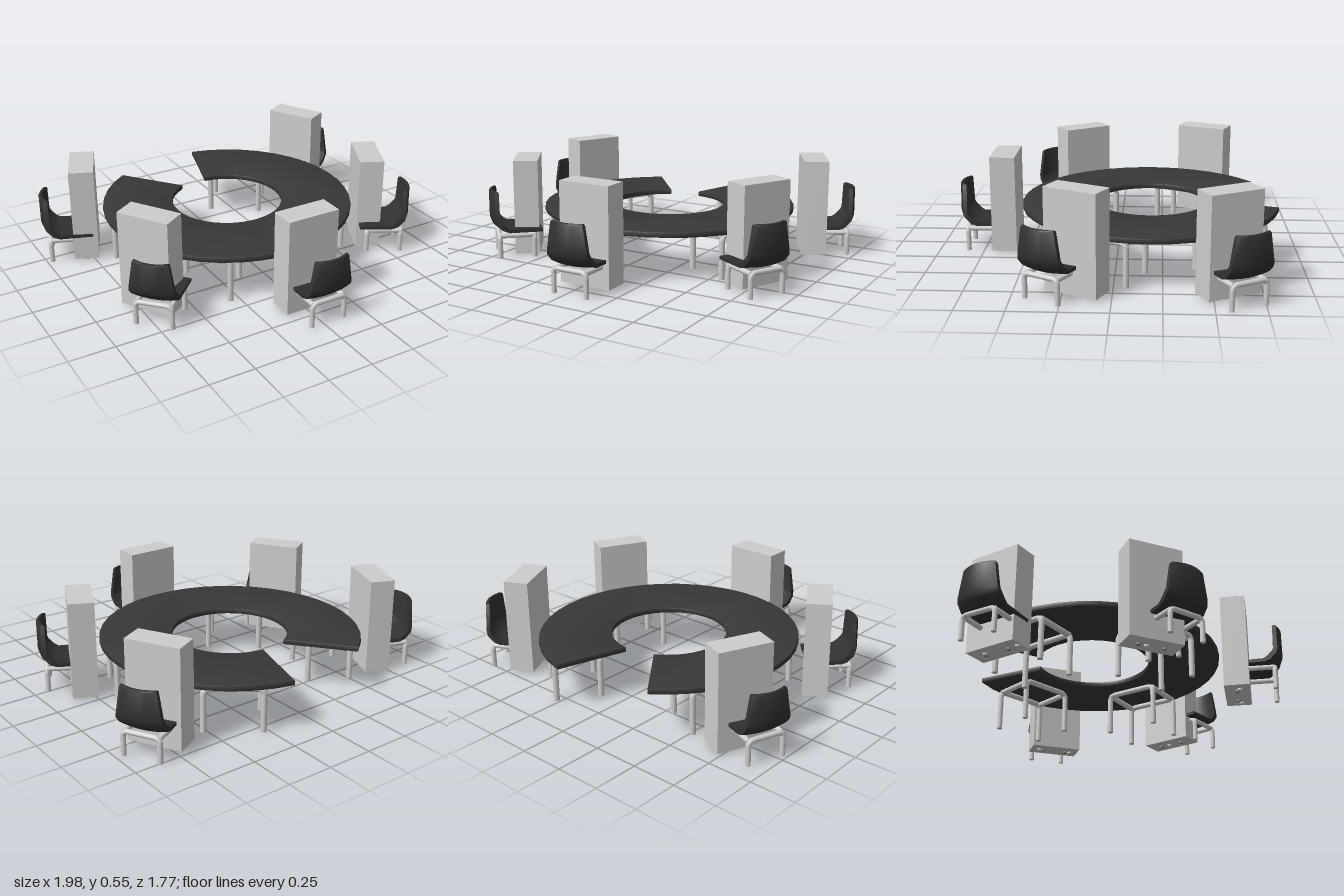
import * as THREE from 'three';
import { toCreasedNormals } from 'three/addons/utils/BufferGeometryUtils.js';

const mat = (name, color) => new THREE.MeshStandardMaterial({ name, color });
const rad = THREE.MathUtils.degToRad;

function add(parent, name, geometry, material, x = 0, y = 0, z = 0) {
  const mesh = new THREE.Mesh(geometry, material);
  mesh.name = name;
  mesh.position.set(x, y, z);
  parent.add(mesh);
  return mesh;
}

function placedGroup(parent, name, x, z, degrees) {
  const g = new THREE.Group();
  g.name = name;
  g.position.set(x, 0, z);
  g.rotation.y = rad(degrees);
  parent.add(g);
  return g;
}

// Four-legged tube frame: two bent arches joined by two straight bars
function tubeFrame(parent, halfW, zBack, zFront, height, r, material) {
  const V = (x, y) => new THREE.Vector3(x, y, 0);
  const bend = r * 2.2;
  const path = new THREE.CurvePath();
  path.add(new THREE.LineCurve3(V(-halfW, 0.002), V(-halfW, height - bend)));
  path.add(new THREE.QuadraticBezierCurve3(V(-halfW, height - bend), V(-halfW, height), V(-halfW + bend, height)));
  path.add(new THREE.LineCurve3(V(-halfW + bend, height), V(halfW - bend, height)));
  path.add(new THREE.QuadraticBezierCurve3(V(halfW - bend, height), V(halfW, height), V(halfW, height - bend)));
  path.add(new THREE.LineCurve3(V(halfW, height - bend), V(halfW, 0.002)));
  const arch = new THREE.TubeGeometry(path, 48, r, 10);
  const foot = new THREE.CylinderGeometry(r, r, 0.004, 10);
  const bar = new THREE.CylinderGeometry(r, r, zFront - zBack, 10).rotateX(Math.PI / 2);
  for (const z of [zBack, zFront]) {
    add(parent, 'legArch', arch, material, 0, 0, z);
    for (const s of [-1, 1]) add(parent, 'foot', foot, material, s * halfW, 0.002, z);
  }
  for (const s of [-1, 1]) {
    add(parent, 'sideBar', bar, material, s * (halfW - r * 0.4), height - r * 0.3, (zBack + zFront) / 2);
  }
}

// Chair shell swept from seat front to back top
// Each row: outer z, y, inner z, y, half width, side curl
function chairShell() {
  const rows = [
    [-0.285, 0.148, -0.285, 0.165, 0.122, 0],
    [-0.1, 0.145, -0.105, 0.165, 0.125, 0.004],
    [-0.06, 0.15, -0.075, 0.172, 0.126, 0.014],
    [-0.015, 0.187, -0.037, 0.202, 0.125, 0.022],
    [0, 0.225, -0.023, 0.228, 0.12, 0.026],
    [0, 0.372, -0.022, 0.372, 0.097, 0.026],
    [-0.004, 0.38, -0.018, 0.38, 0.092, 0.026],
  ];
  const n = 9, ring = 2 * n, pos = [], index = [];
  for (const [zo, yo, zi, yi, hw, curl] of rows) {
    const len = Math.hypot(zi - zo, yi - yo);
    for (let j = 0; j < ring; j++) {
      const outer = j < n;
      const u = ((outer ? j : ring - 1 - j) / (n - 1)) * 2 - 1;
      const k = (curl * u * u) / len;
      pos.push(u * hw, (outer ? yo : yi) + k * (yi - yo), (outer ? zo : zi) + k * (zi - zo));
    }
  }
  const quad = (a, b, c, d) => index.push(a, b, c, a, c, d);
  for (let i = 0; i < rows.length - 1; i++) {
    for (let j = 0; j < ring; j++) {
      const k = (j + 1) % ring, a = i * ring, b = a + ring;
      quad(a + j, a + k, b + k, b + j);
    }
  }
  const top = (rows.length - 1) * ring;
  for (let j = 0; j < n - 1; j++) {
    quad(top + j, top + j + 1, top + ring - 2 - j, top + ring - 1 - j);
    quad(ring - 1 - j, ring - 2 - j, j + 1, j);
  }
  const g = new THREE.BufferGeometry();
  g.setAttribute('position', new THREE.Float32BufferAttribute(pos, 3));
  g.setIndex(index);
  return toCreasedNormals(g, rad(45));
}

// Open ring table top with slanted cut ends
function tableTopGeometry() {
  const pts = [];
  const arc = (r, from, to, steps) => {
    for (let i = 0; i <= steps; i++) {
      const a = rad(from + ((to - from) * i) / steps);
      pts.push(new THREE.Vector2(r * Math.sin(a), -r * Math.cos(a)));
    }
  };
  arc(0.709, -146, 168.3, 36);
  arc(0.322, 174.5, -151.5, 36);
  const g = new THREE.ExtrudeGeometry(new THREE.Shape(pts), {
    depth: 0.018, bevelEnabled: true, bevelSize: 0.006, bevelThickness: 0.006, bevelSegments: 2,
  });
  return toCreasedNormals(g.rotateX(-Math.PI / 2), rad(35));
}

export function createModel() {
  const model = new THREE.Group();
  model.name = 'roundMeetingTable';
  const tableDark = mat('tableCharcoal', 0x383838);
  const chairDark = mat('chairCharcoal', 0x313131);
  const metal = mat('lightMetal', 0xcfcfcf);
  const boxGrey = mat('boxGrey', 0xcdcdcd);
  const footGrey = mat('footGrey', 0x8a8a8a);

  // Table
  const cx = 0.015, cz = -0.18;
  const table = placedGroup(model, 'table', cx, cz, 0);
  add(table, 'tableTop', tableTopGeometry(), tableDark, 0, 0.256, 0);
  for (const a of [144, 67, -41, -115]) {
    const support = placedGroup(table, 'tableSupport', 0, 0, a);
    tubeFrame(support, 0.15, 0.41, 0.65, 0.235, 0.016, metal);
  }

  // Seat places: block x, z, angle, then chair back x, z, angle
  const places = [
    [0.022, 0.63, 0, 0.03, 0.885, 0],
    [0.741, 0.177, 64, 0.91, 0.365, 61],
    [0.741, -0.572, 118, 0.95, -0.685, 119],
    [-0.735, -0.51, -113, -0.98, -0.568, -110],
    [-0.677, 0.249, -57, -0.79, 0.463, -46],
  ];
  const shell = chairShell();
  const block = new THREE.BoxGeometry(0.296, 0.535, 0.137);
  const stud = new THREE.CylinderGeometry(0.012, 0.012, 0.01, 12);
  for (const [bx, bz, ba, x, z, a] of places) {
    const box = placedGroup(model, 'uprightBlock', bx, bz, ba);
    add(box, 'blockBody', block, boxGrey, 0, 0.2775, 0);
    for (const s of [-1, 1]) add(box, 'blockFoot', stud, footGrey, s * 0.07, 0.005, 0);

    const chair = placedGroup(model, 'chair', x, z, a);
    add(chair, 'seatShell', shell, chairDark);
    tubeFrame(chair, 0.098, -0.24, -0.047, 0.131, 0.014, metal);
  }
  return model;
}
